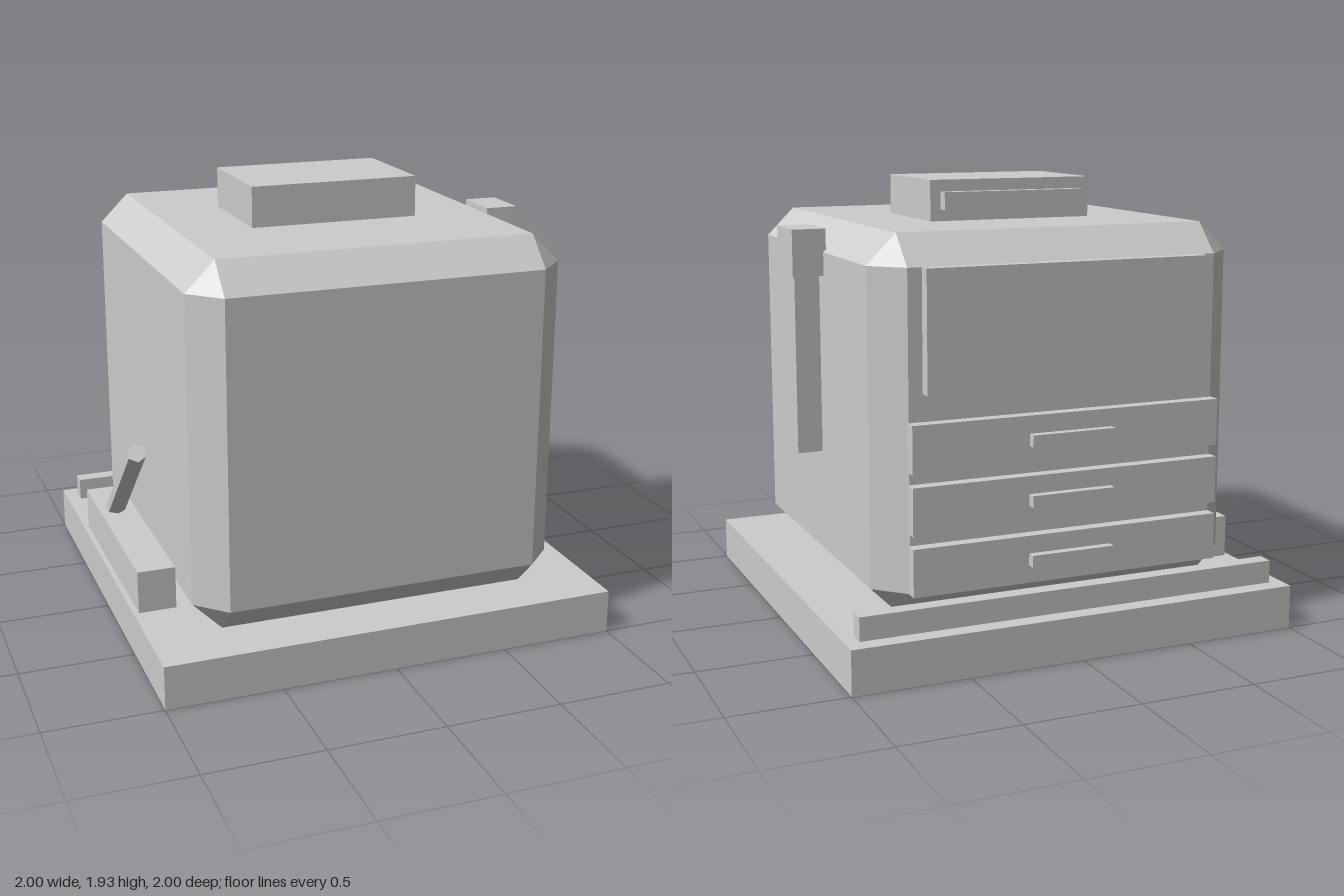
import * as THREE from 'three';
import { ConvexGeometry } from 'three/addons/geometries/ConvexGeometry.js';

export function createModel() {
  const model = new THREE.Group();
  const grey = new THREE.MeshStandardMaterial({ color: 0xcccccc });
  grey.name = 'light grey';

  const add = (name, geometry) => {
    const mesh = new THREE.Mesh(geometry, grey);
    mesh.name = name;
    model.add(mesh);
    return mesh;
  };
  // Box given by its extents on each axis
  const box = (name, [x0, x1], [y0, y1], [z0, z1]) => {
    const mesh = add(name, new THREE.BoxGeometry(x1 - x0, y1 - y0, z1 - z0));
    mesh.position.set((x0 + x1) / 2, (y0 + y1) / 2, (z0 + z1) / 2);
    return mesh;
  };
  // Box with every edge chamfered
  const chamferedBox = (w, h, d, c) => {
    const points = [];
    for (const sx of [-1, 1]) for (const sy of [-1, 1]) for (const sz of [-1, 1]) {
      const x = w / 2, y = h / 2, z = d / 2;
      points.push(
        new THREE.Vector3(sx * x, sy * (y - c), sz * (z - c)),
        new THREE.Vector3(sx * (x - c), sy * y, sz * (z - c)),
        new THREE.Vector3(sx * (x - c), sy * (y - c), sz * z)
      );
    }
    return new ConvexGeometry(points);
  };

  // Base plate and main body
  box('base', [-1, 1], [0, 0.19], [-1, 1]);
  add('body', chamferedBox(1.62, 1.565, 1.685, 0.125)).position.set(0, 0.9725, 0.0325);

  // Box on the roof with its rear strip
  box('roofBox', [-0.372, 0.372], [1.75, 1.93], [-0.25, 0.25]);
  box('roofStrip', [-0.325, 0.325], [1.805, 1.88], [-0.298, -0.25]);

  // Rear panel, three drawers with handles, and floor rail
  box('rearPanel', [-0.625, 0.625], [1.13, 1.63], [-0.863, -0.81]);
  for (let i = 0; i < 3; i++) {
    const y = 0.315 + i * 0.251;
    box('drawer', [-0.69, 0.69], [y, y + 0.2], [-0.863, -0.81]);
    box('drawerHandle', [-0.185, 0.185], [y + 0.075, y + 0.125], [-0.9, -0.863]);
  }
  box('rearRail', [-0.94, 0.94], [0.19, 0.29], [-0.925, -0.855]);

  // Post and head on the left side
  box('sidePost', [0.81, 0.92], [0.755, 1.53], [-0.06, 0.037]);
  box('sidePostHead', [0.798, 0.945], [1.53, 1.73], [-0.126, 0.098]);

  // Leaning six-sided lever and its housing on the right side
  box('leverHousing', [-0.977, -0.813], [0.19, 0.377], [-0.5, 0.5]);
  const lever = add('lever', new THREE.CylinderGeometry(0.0433, 0.0433, 0.67, 6).toNonIndexed());
  lever.geometry.computeVertexNormals();
  lever.position.set(-0.903, 0.585, 0);
  lever.rotation.x = 0.82;

  return model;
}
